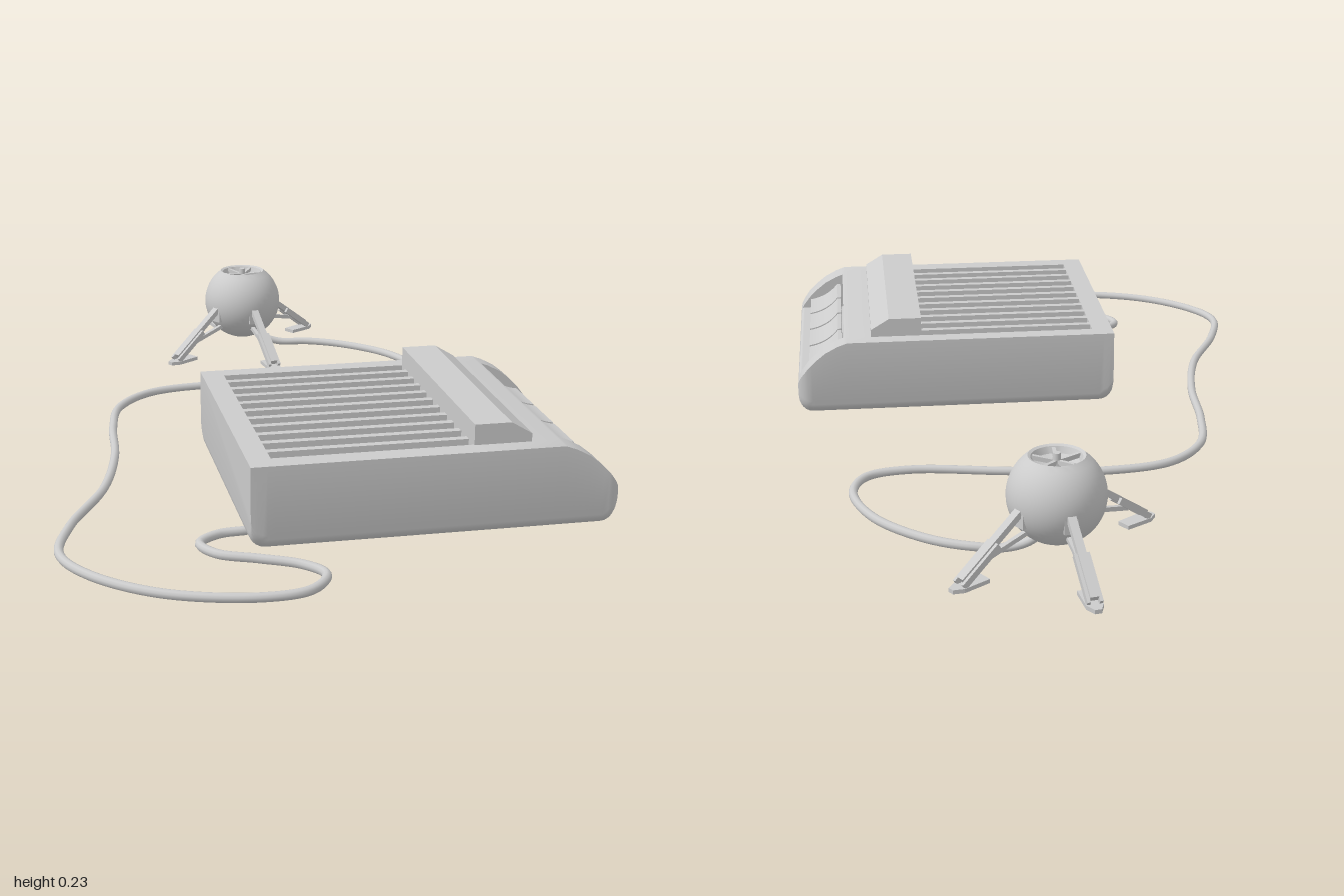
import * as THREE from 'three';
import { toCreasedNormals } from 'three/addons/utils/BufferGeometryUtils.js';

const material = new THREE.MeshStandardMaterial({ color: 0xcccccc });
const V = (x, y, z) => new THREE.Vector3(x, y, z);

function add(parent, name, geometry, x = 0, y = 0, z = 0) {
  const mesh = new THREE.Mesh(geometry, material);
  mesh.name = name;
  mesh.position.set(x, y, z);
  parent.add(mesh);
  return mesh;
}

// Square bar between two points
function beam(parent, name, a, b, width, height) {
  const mesh = new THREE.Mesh(new THREE.BoxGeometry(width, height, a.distanceTo(b)), material);
  mesh.name = name;
  mesh.position.copy(a).add(b).multiplyScalar(0.5);
  mesh.lookAt(b);
  parent.add(mesh);
}

// Closed side profile in x and y, extruded along z
function extrudeZ(shape, depth) {
  return toCreasedNormals(new THREE.ExtrudeGeometry(shape, { depth, bevelEnabled: false, curveSegments: 10 }), 0.5);
}

// Case: cross-sections along x, with a grille well and a key well let into the top
const X0 = -0.2, X1 = 0.59, Z0 = 0.1, Z1 = 0.76, BASE = 0.005, R = 0.035;
const NOSE = [[0.465, 0.19], [0.49, 0.181], [0.52, 0.165], [0.545, 0.145], [0.565, 0.125], [0.58, 0.105], [0.587, 0.093], [0.59, 0.08]];

function topAt(x) {
  for (let i = 1; i < NOSE.length; i++) {
    const [xa, ya] = NOSE[i - 1], [xb, yb] = NOSE[i];
    if (x <= xa) return ya;
    if (x <= xb) return ya + (yb - ya) * (x - xa) / (xb - xa);
  }
  return NOSE[NOSE.length - 1][1];
}

function caseSection(x, well) {
  const top = topAt(x);
  const d = Math.min(x - X0, X1 - x, R);
  const base = BASE + R - Math.sqrt(Math.max(0, R * R - (R - d) ** 2));
  const inset = 0.012 * Math.max(0, (x - 0.565) / 0.025) ** 2;
  const [za, zb, depthY] = { none: [0.142, 0.713, 1], grille: [0.142, 0.713, 0.173], keys: [0.155, 0.695, 0.095] }[well];
  const floor = Math.min(top, depthY);
  const z0 = Z0 + inset, z1 = Z1 - inset;
  const points = [[z0, top], [za, top], [za, floor], [zb, floor], [zb, top], [z1, top]];
  const r = Math.min(R, top - base);
  for (let i = 0; i <= 6; i++) {
    const a = i / 6 * Math.PI / 2;
    points.push([z1 - r + r * Math.cos(a), base + r - r * Math.sin(a)]);
  }
  for (let i = 6; i >= 0; i--) {
    const a = i / 6 * Math.PI / 2;
    points.push([z0 + r - r * Math.cos(a), base + r - r * Math.sin(a)]);
  }
  return points.map(([z, y]) => V(x, y, z));
}

function caseGeometry() {
  const stations = [];
  const run = (well, xs) => xs.forEach(x => stations.push(caseSection(x, well)));
  run('none', [-0.2, -0.198, -0.193, -0.185, -0.175, -0.165, -0.15]);
  run('grille', [-0.15, 0.28]);
  run('none', [0.28, 0.465, 0.472]);
  run('keys', [0.472, 0.49, 0.505, 0.52, 0.5325, 0.545, 0.555, 0.565, 0.573, 0.58, 0.584, 0.587, 0.589, 0.59]);
  const positions = [];
  const tri = (a, b, c) => {
    const area = b.clone().sub(a).cross(c.clone().sub(a)).length();
    if (area > 1e-9) for (const p of [a, b, c]) positions.push(p.x, p.y, p.z);
  };
  for (let i = 0; i + 1 < stations.length; i++) {
    const s = stations[i], t = stations[i + 1];
    for (let j = 0; j < s.length; j++) {
      const k = (j + 1) % s.length;
      tri(s[j], s[k], t[j]);
      tri(s[k], t[k], t[j]);
    }
  }
  const first = stations[0], last = stations[stations.length - 1];
  for (let k = 1; k + 1 < first.length; k++) {
    tri(first[0], first[k + 1], first[k]);
    tri(last[0], last[k], last[k + 1]);
  }
  const geometry = new THREE.BufferGeometry();
  geometry.setAttribute('position', new THREE.Float32BufferAttribute(positions, 3));
  return toCreasedNormals(geometry, 0.6);
}

function buildRecorder() {
  const recorder = new THREE.Group();
  recorder.name = 'controlBox';
  add(recorder, 'case', caseGeometry());

  // Grille ribs between the eleven slots
  for (let i = 0; i < 10; i++) {
    add(recorder, 'grilleRib', new THREE.BoxGeometry(0.43, 0.018, 0.0175), 0.065, 0.181, 0.18675 + i * 0.0535);
  }

  // Raised bar with a sloping front
  const bar = new THREE.Shape([[0.28, 0.185], [0.405, 0.185], [0.405, 0.208], [0.36, 0.235], [0.28, 0.235]].map(p => new THREE.Vector2(...p)));
  add(recorder, 'raisedBar', extrudeZ(bar, 0.575), 0, 0, 0.142);

  // Four push keys with hollowed tops
  const key = new THREE.Shape();
  key.moveTo(0.478, 0.09);
  key.lineTo(0.562, 0.09);
  key.lineTo(0.562, 0.121);
  key.quadraticCurveTo(0.515, 0.128, 0.488, 0.163);
  key.lineTo(0.478, 0.163);
  const keyGeometry = extrudeZ(key, 0.124);
  for (let i = 0; i < 4; i++) add(recorder, 'pushKey', keyGeometry, 0, 0, 0.162 + i * 0.134);
  return recorder;
}

function buildLeg(angle) {
  const leg = new THREE.Group();
  leg.name = 'leg';
  beam(leg, 'mainStrut', V(0.085, 0.135, 0), V(0.25, 0.02, 0), 0.018, 0.014);
  beam(leg, 'lowerStrut', V(0.075, 0.075, 0), V(0.2, 0.045, 0), 0.01, 0.01);
  for (const side of [-1, 1]) {
    beam(leg, 'footRail', V(0.165, 0.075, side * 0.013), V(0.255, 0.012, side * 0.013), 0.007, 0.014);
  }
  // Foot pad with a pointed toe
  const pad = new THREE.Shape([[0.19, -0.016], [0.255, -0.018], [0.277, -0.007], [0.277, 0.007], [0.255, 0.018], [0.19, 0.016]].map(p => new THREE.Vector2(...p)));
  const padMesh = add(leg, 'footPad', new THREE.ExtrudeGeometry(pad, { depth: 0.009, bevelEnabled: false }), 0, 0.01, 0);
  padMesh.rotation.x = Math.PI / 2;
  // Socket where the strut enters the ball
  add(leg, 'hipSocket', new THREE.BoxGeometry(0.03, 0.05, 0.03), 0.088, 0.115, 0);
  leg.rotation.y = -angle;
  return leg;
}

function buildBallUnit() {
  const unit = new THREE.Group();
  unit.name = 'ballUnit';
  // Ball with a bowl sunk into its flattened top
  const profile = [], r = 0.105, cy = 0.135;
  for (let i = 0; i <= 24; i++) {
    const a = -Math.PI / 2 + i / 24 * 2.48;
    profile.push(new THREE.Vector2(Math.max(0, r * Math.cos(a)), cy + r * Math.sin(a)));
  }
  for (const [x, y] of [[0.06, 0.222], [0.054, 0.219], [0.048, 0.205], [0.03, 0.196], [0, 0.194]]) profile.push(new THREE.Vector2(x, y));
  add(unit, 'ball', toCreasedNormals(new THREE.LatheGeometry(profile, 40), 0.6));

  // Spokes and knob in the bowl
  for (let i = 0; i < 5; i++) {
    const a = i / 5 * Math.PI * 2 + 0.3;
    beam(unit, 'bowlSpoke', V(0, 0.206, 0), V(0.052 * Math.cos(a), 0.213, 0.052 * Math.sin(a)), 0.008, 0.01);
  }
  add(unit, 'topKnob', new THREE.CylinderGeometry(0.008, 0.01, 0.034, 16), 0, 0.21, 0);

  for (const degrees of [-100, -34, 146, 80]) unit.add(buildLeg(degrees * Math.PI / 180));
  unit.position.set(0.048, 0, -0.732);
  return unit;
}

function buildCable() {
  // Path on the floor, x and z
  const path = [
    [-0.19, 0.655], [-0.25, 0.663], [-0.297, 0.705], [-0.27, 0.765], [-0.19, 0.805], [-0.11, 0.85], [-0.075, 0.905],
    [-0.12, 0.972], [-0.22, 0.987], [-0.4, 0.935], [-0.53, 0.825], [-0.583, 0.71], [-0.55, 0.56], [-0.46, 0.36],
    [-0.412, 0.15], [-0.395, -0.05], [-0.36, -0.21], [-0.27, -0.31], [-0.12, -0.343], [0.1, -0.322], [0.33, -0.287],
    [0.43, -0.315], [0.463, -0.4], [0.42, -0.54], [0.32, -0.65], [0.23, -0.7], [0.15, -0.716]
  ].map(([x, z]) => V(x, 0.012, z));
  path.push(V(0.1, 0.03, -0.725), V(0.07, 0.06, -0.73));
  return new THREE.TubeGeometry(new THREE.CatmullRomCurve3(path), 300, 0.01, 10);
}

export function createModel() {
  const model = new THREE.Group();
  model.name = 'tableDevice';
  model.add(buildRecorder(), buildBallUnit());
  add(model, 'cable', buildCable());
  return model;
}
